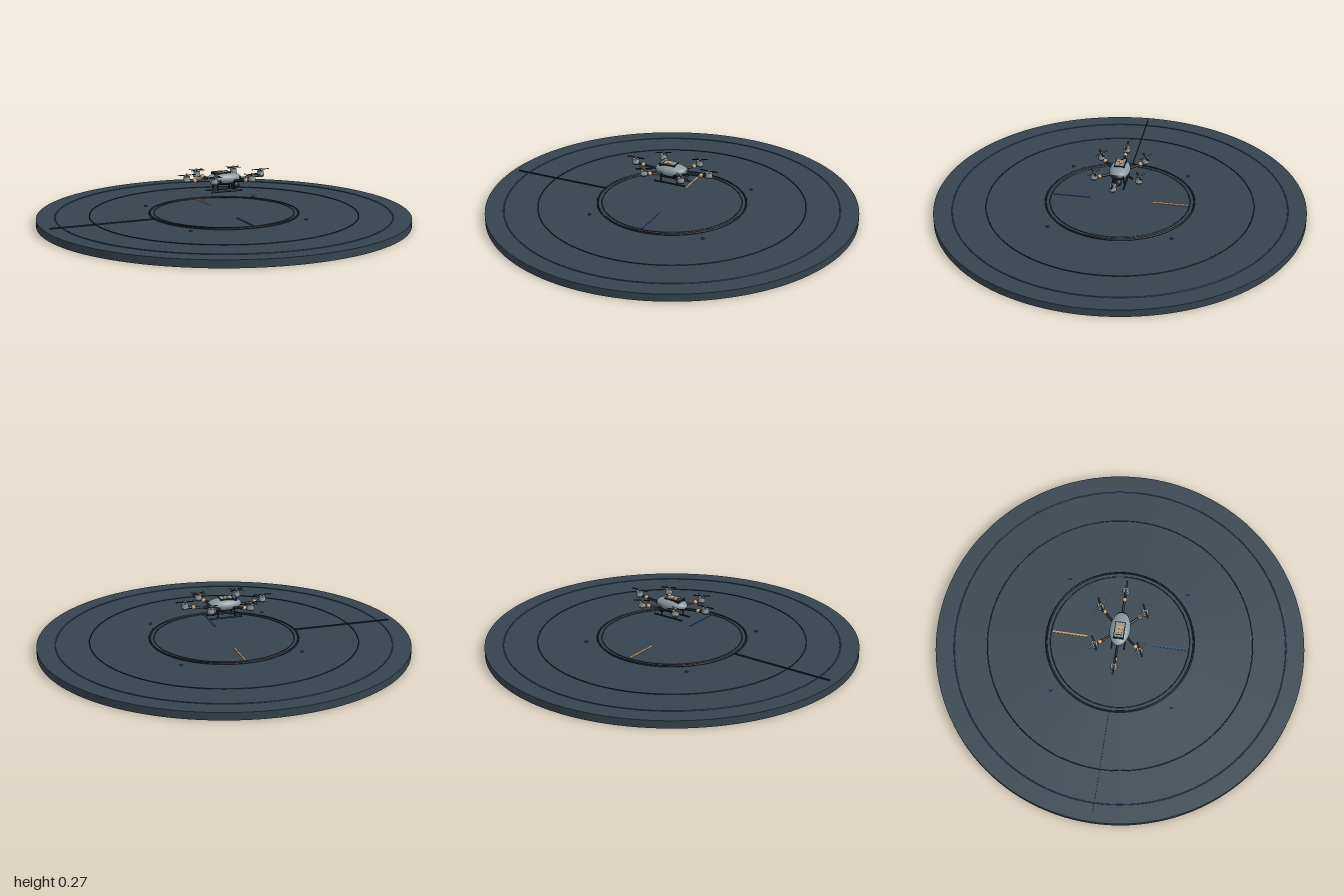
import * as THREE from 'three';

const mat = (name, color) => Object.assign(new THREE.MeshStandardMaterial({ color }), { name });

export function createModel() {
  const deck = mat('slate', 0x36434d);
  const dark = mat('dark navy', 0x17222b);
  const blue = mat('signal blue', 0x1f4f7a);
  const tan = mat('warm copper', 0xc99a66);
  const grey = mat('light grey', 0x8b979d);
  const mid = mat('mid grey', 0x5d6a72);

  const model = new THREE.Group();
  model.name = 'droneOnPad';
  const add = (parent, name, geo, material, x = 0, y = 0, z = 0) => {
    const m = new THREE.Mesh(geo, material);
    m.name = name;
    m.position.set(x, y, z);
    parent.add(m);
    return m;
  };
  const box = (w, h, d) => new THREE.BoxGeometry(w, h, d);
  const cyl = (rt, rb, h, n = 20) => new THREE.CylinderGeometry(rt, rb, h, n);
  // Round bar between two points
  const bar = (parent, name, a, b, r, material) => {
    const p = new THREE.Vector3(...a), q = new THREE.Vector3(...b);
    const m = add(parent, name, cyl(r, r, p.distanceTo(q), 10), material);
    m.position.copy(p).add(q).multiplyScalar(0.5);
    m.quaternion.setFromUnitVectors(new THREE.Vector3(0, 1, 0), q.sub(p).normalize());
    return m;
  };

  // Landing pad: broad disc with a slightly raised centre
  const pad = new THREE.Group();
  pad.name = 'landingPad';
  model.add(pad);
  add(pad, 'padDisc', cyl(1, 1, 0.04, 128), deck, 0, 0.02, 0);
  add(pad, 'centreDisc', cyl(0.4, 0.4, 0.006, 96), deck, 0, 0.043, 0);

  // Thin inlaid rings: name, radius, tube radius, height, material
  [['rimRing', 0.9, 0.003, 0.041, blue],
    ['middleRing', 0.72, 0.0025, 0.041, dark],
    ['centreRim', 0.4, 0.005, 0.046, dark],
    ['innerRing', 0.377, 0.0025, 0.046, dark]].forEach(([name, r, t, y, m]) => {
    add(pad, name, new THREE.TorusGeometry(r, t, 8, 128), m, 0, y, 0).rotation.x = Math.PI / 2;
  });

  // Guide strips, seam and corner lights
  add(pad, 'rearStrip', box(0.009, 0.004, 0.19), tan, 0, 0.047, -0.275);
  add(pad, 'frontStrip', box(0.009, 0.004, 0.2), blue, 0, 0.047, 0.27);
  add(pad, 'seam', box(0.56, 0.008, 0.003), dark, -0.685, 0.043, 0);
  for (const x of [-0.327, 0.327]) for (const z of [-0.327, 0.327])
    add(pad, 'padLight', cyl(0.008, 0.009, 0.006, 12), blue, x, 0.043, z);

  // Drone, nose towards +x
  const drone = new THREE.Group();
  drone.name = 'drone';
  model.add(drone);
  const ellipsoid = (name, m, x, y, z, sx, sy, sz) =>
    add(drone, name, new THREE.SphereGeometry(1, 32, 20), m, x, y, z).scale.set(sx, sy, sz);
  ellipsoid('bodyShell', grey, 0, 0.232, 0, 0.094, 0.034, 0.055);
  ellipsoid('belly', dark, 0, 0.219, 0, 0.08, 0.025, 0.047);
  ellipsoid('noseVisor', dark, 0.066, 0.231, 0, 0.03, 0.019, 0.036);

  // Top hatch with frame and copper plates
  add(drone, 'hatchFrame', box(0.092, 0.014, 0.056), dark, -0.018, 0.26, 0);
  add(drone, 'hatchCover', box(0.08, 0.005, 0.046), grey, -0.018, 0.266, 0);
  add(drone, 'hatchSlot', box(0.005, 0.004, 0.034), dark, -0.046, 0.268, 0);
  for (const x of [-0.026, -0.006])
    add(drone, 'hatchPlate', box(0.015, 0.004, 0.032), tan, x, 0.268, 0);

  // Six arms, each with a clamp, motor pod and propeller
  const tips = [[0.215, 0], [0.108, 0.12], [-0.108, 0.12], [-0.215, 0], [-0.108, -0.12], [0.108, -0.12]];
  tips.forEach(([x, z]) => {
    bar(drone, 'arm', [x * 0.3, 0.221, z * 0.3], [x, 0.23, z], 0.0065, dark);
    add(drone, 'armClamp', new THREE.SphereGeometry(0.0125, 14, 10), tan, x * 0.79, 0.23, z * 0.79);
    const rotor = new THREE.Group();
    rotor.name = 'rotor';
    rotor.position.set(x, 0, z);
    drone.add(rotor);
    add(rotor, 'motorPod', cyl(0.017, 0.02, 0.026), grey, 0, 0.242, 0);
    add(rotor, 'motorBase', cyl(0.021, 0.016, 0.008), mid, 0, 0.227, 0);
    add(rotor, 'rotorShaft', cyl(0.004, 0.004, 0.014, 10), dark, 0, 0.259, 0);
    add(rotor, 'rotorCap', cyl(0.005, 0.007, 0.006, 12), tan, 0, 0.267, 0);
    const turns = z === 0 ? [0] : [0.45, -0.6];
    turns.forEach((a, i) => {
      const blade = add(rotor, 'propeller', box(z === 0 ? 0.1 : 0.085, 0.003, 0.009), i ? mid : dark, 0, 0.263, 0);
      blade.rotation.y = a;
    });
  });

  // Landing skids
  for (const s of [-1, 1]) {
    bar(drone, 'skid', [-0.09, 0.165, s * 0.034], [0.09, 0.165, s * 0.034], 0.0045, dark);
    for (const x of [-0.05, 0.045])
      bar(drone, 'skidLeg', [x, 0.212, s * 0.026], [x, 0.165, s * 0.034], 0.004, dark);
  }

  // Camera on a gimbal beneath the nose
  add(drone, 'gimbalMount', cyl(0.012, 0.012, 0.02), mid, 0.06, 0.206, 0);
  add(drone, 'cameraBall', new THREE.SphereGeometry(0.021, 24, 16), dark, 0.064, 0.19, 0);
  add(drone, 'cameraLens', cyl(0.01, 0.01, 0.012), mid, 0.082, 0.189, 0).rotation.z = Math.PI / 2;
  add(drone, 'lensGlass', cyl(0.007, 0.007, 0.004), blue, 0.088, 0.189, 0).rotation.z = Math.PI / 2;
  return model;
}
